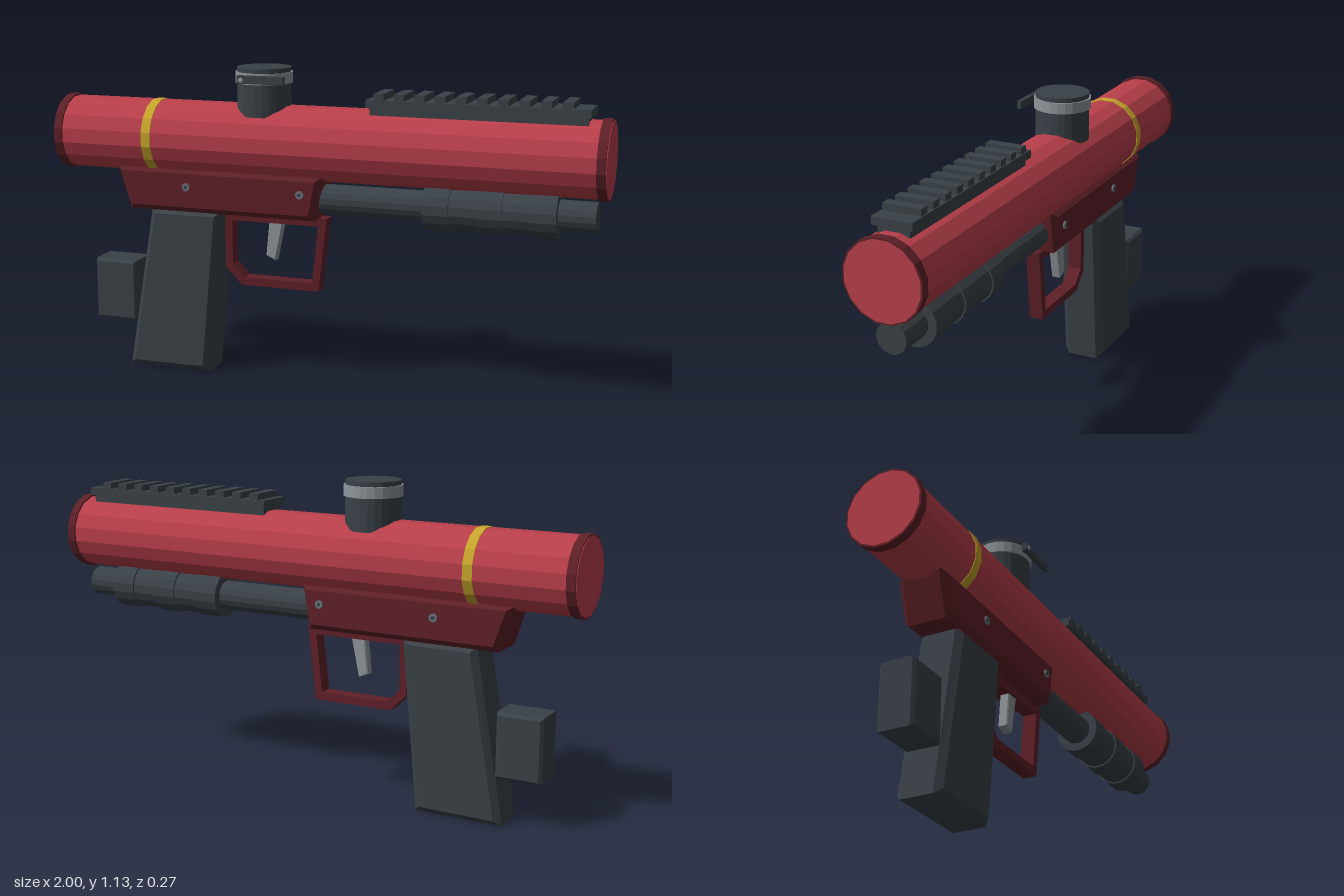
import * as THREE from 'three';

const mat = (name, color) => {
  const m = new THREE.MeshStandardMaterial({ color });
  m.name = name;
  return m;
};

export function createModel() {
  const root = new THREE.Group();
  root.name = 'marker';
  const red = mat('red', 0xb93f4a);
  const darkRed = mat('dark red', 0x5e2027);
  const charcoal = mat('charcoal', 0x3a4147);
  const yellow = mat('yellow', 0xc9a52c);
  const steel = mat('steel', 0x8f959a);
  const screwGrey = mat('screw grey', 0x68727a);

  const add = (name, geometry, material, x = 0, y = 0, z = 0) => {
    const mesh = new THREE.Mesh(geometry, material);
    mesh.name = name;
    mesh.position.set(x, y, z);
    root.add(mesh);
    return mesh;
  };
  const facet = (g) => {
    const flat = g.toNonIndexed();
    flat.computeVertexNormals();
    return flat;
  };
  // Faceted cylinder lying along x from x0 to x1
  const tubeX = (name, material, x0, x1, r, y, sides = 16) => {
    const g = new THREE.CylinderGeometry(r, r, x1 - x0, sides);
    g.rotateY(Math.PI / sides).rotateZ(Math.PI / 2);
    return add(name, facet(g), material, (x0 + x1) / 2, y);
  };
  const box = (name, material, x0, x1, y0, y1, w) =>
    add(name, new THREE.BoxGeometry(x1 - x0, y1 - y0, w), material, (x0 + x1) / 2, (y0 + y1) / 2);
  // Side profile extruded across z, with a chamfer cut inside the outline
  const vec = (pts) => pts.map(([x, y]) => new THREE.Vector2(x, y));
  const slab = (name, material, pts, width, bevel = 0, hole = null) => {
    const shape = new THREE.Shape(vec(pts));
    if (hole) shape.holes.push(new THREE.Path(vec(hole)));
    const depth = width - 2 * bevel;
    const g = new THREE.ExtrudeGeometry(shape, {
      depth, bevelEnabled: bevel > 0, bevelSize: bevel, bevelThickness: bevel,
      bevelOffset: -bevel, bevelSegments: 1,
    });
    g.translate(0, 0, -depth / 2);
    return add(name, g, material);
  };

  // Main tube with end collars and end faces
  const axisY = 0.866;
  tubeX('mainTube', red, -0.97, 0.97, 0.132, axisY);
  tubeX('yellowBand', yellow, -0.65, -0.615, 0.1345, axisY);
  for (const s of [-1, 1]) {
    const a = s * 0.967, b = s * 0.998, c = s * 1;
    tubeX('endCollar', darkRed, Math.min(a, b), Math.max(a, b), 0.138, axisY);
    tubeX('endFace', red, Math.min(b, c), Math.max(b, c), 0.132, axisY);
  }

  // Trigger housing with screws on both sides
  slab('housing', darkRed, [[-0.725, 0.6], [-0.015, 0.6], [0.012, 0.76], [-0.775, 0.76]], 0.175, 0.02);
  for (const s of [-1, 1]) {
    for (const x of [-0.497, -0.063]) {
      const g = new THREE.CylinderGeometry(0.015, 0.015, 0.012, 10).rotateX(Math.PI / 2);
      add('screw', facet(g), screwGrey, x, 0.695, s * 0.087);
      const d = new THREE.CylinderGeometry(0.007, 0.007, 0.002, 6).rotateX(Math.PI / 2);
      add('screwSocket', facet(d), charcoal, x, 0.695, s * 0.0935);
    }
  }

  // Grip and the block behind it
  slab('grip', charcoal, [[-0.75, 0], [-0.43, 0], [-0.372, 0.61], [-0.645, 0.61]], 0.16, 0.022);
  slab('rearBlock', charcoal, [[-0.885, 0.165], [-0.72, 0.165], [-0.72, 0.395], [-0.885, 0.395]], 0.13, 0.01);

  // Trigger and guard
  slab('triggerGuard', darkRed,
    [[-0.31, 0.333], [-0.015, 0.333], [0.016, 0.602], [-0.372, 0.602], [-0.372, 0.395]], 0.052, 0,
    [[-0.298, 0.362], [-0.345, 0.41], [-0.345, 0.572], [-0.016, 0.572], [-0.04, 0.362]]);
  slab('trigger', steel, [[-0.218, 0.448], [-0.182, 0.432], [-0.152, 0.575], [-0.205, 0.575]], 0.036, 0.004);

  // Lower tube with stepped fore grip
  tubeX('lowerTube', charcoal, -0.03, 0.962, 0.053, 0.67);
  const steps = 5, x0 = 0.375, stepLen = 0.46 / steps;
  for (let i = 0; i < steps; i++) {
    tubeX('foreGripRing', charcoal, x0 + i * stepLen, x0 + (i + 1) * stepLen, i % 2 ? 0.077 : 0.083, 0.67);
  }

  // Feed neck, clamp ring and lever
  const upright = (name, material, y0, y1, r) =>
    add(name, facet(new THREE.CylinderGeometry(r, r, y1 - y0, 24)), material, -0.225, (y0 + y1) / 2);
  upright('feedNeck', charcoal, 0.96, 1.13, 0.096);
  upright('clampRing', steel, 1.075, 1.114, 0.102);
  add('clampLever', new THREE.BoxGeometry(0.17, 0.028, 0.016), charcoal, -0.195, 1.095, 0.114);
  const pin = new THREE.CylinderGeometry(0.016, 0.016, 0.02, 10).rotateX(Math.PI / 2);
  add('leverPivot', facet(pin), charcoal, -0.265, 1.094, 0.114);
  const dot = new THREE.CylinderGeometry(0.009, 0.009, 0.004, 8).rotateX(Math.PI / 2);
  add('leverPin', facet(dot), steel, -0.265, 1.094, 0.125);

  // Toothed top rail
  box('railFoot', charcoal, 0.18, 0.925, 0.98, 1.015, 0.11);
  box('railBase', charcoal, 0.17, 0.935, 1.01, 1.037, 0.14);
  for (let i = 0; i < 10; i++) {
    const x = 0.198 + i * 0.0715;
    box('railTooth', charcoal, x, x + 0.036, 1.035, 1.06, 0.132);
  }

  return root;
}
